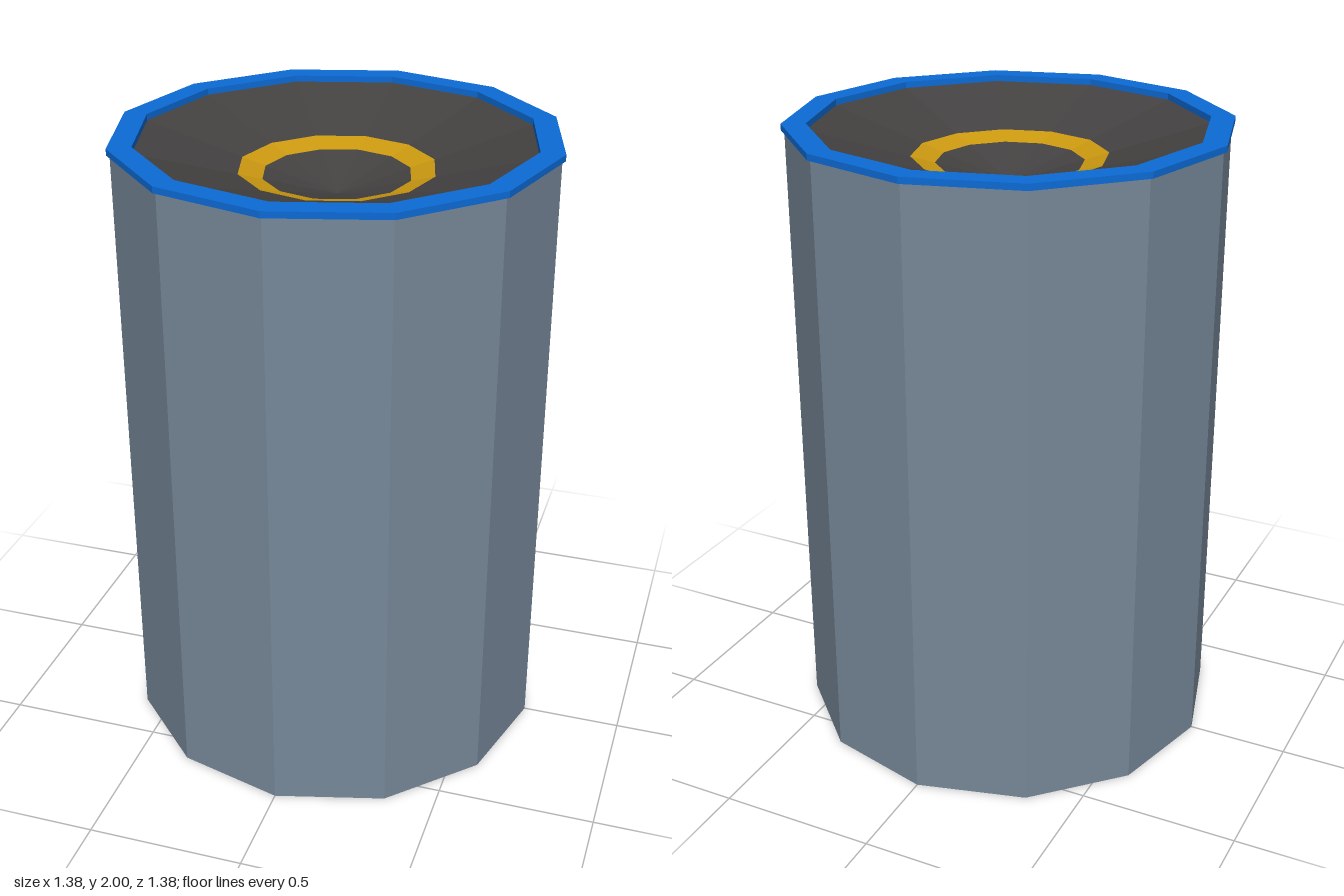
import * as THREE from 'three';

const SIDES = 12;

// Faceted twelve-sided surface of revolution from [radius, height] pairs
function revolve(name, profile, color, side = THREE.FrontSide) {
  const points = profile.map(([r, y]) => new THREE.Vector2(r, y));
  const geometry = new THREE.LatheGeometry(points, SIDES).toNonIndexed();
  geometry.computeVertexNormals();
  const material = new THREE.MeshStandardMaterial({ color, flatShading: true, side });
  const mesh = new THREE.Mesh(geometry, material);
  mesh.name = name;
  return mesh;
}

// Closed ring with a rectangular section
const ring = (inner, outer, bottom, top) => [
  [outer, bottom], [outer, top], [inner, top], [inner, bottom], [outer, bottom],
];

export function createModel() {
  const group = new THREE.Group();
  group.name = 'tube';

  const outer = 0.69, wall = 0.68, inner = 0.615, rimBase = 1.98;
  const dishHeight = (r) => rimBase - (inner - r) * 0.28;
  const band = (r0, r1) => [[r0, dishHeight(r0)], [r1, dishHeight(r1)]];

  // Hollow body, open at the bottom, and its slightly wider rim
  group.add(revolve('body', ring(inner, wall, 0, rimBase), 0x778899));
  group.add(revolve('rim', ring(inner, outer, rimBase, 2), 0x0c6bd6));

  // Shallow dished end cap with a coloured band
  group.add(revolve('capOuter', band(inner, 0.305), 0x444141, THREE.DoubleSide));
  group.add(revolve('capBand', band(0.305, 0.23), 0xcc9910, THREE.DoubleSide));
  group.add(revolve('capCentre', band(0.23, 0), 0x444141, THREE.DoubleSide));

  return group;
}
